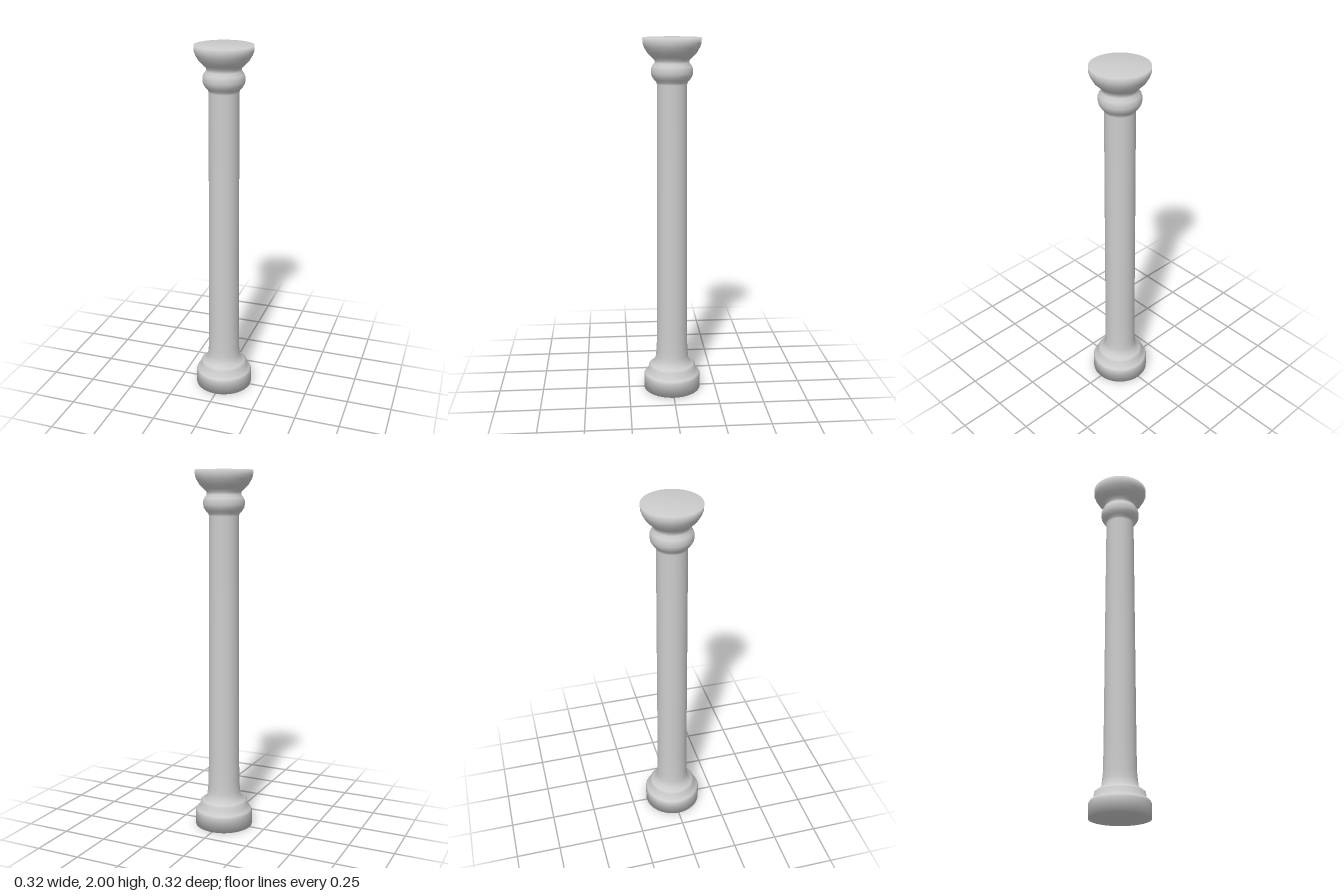
import * as THREE from 'three';

export function createModel() {
  const model = new THREE.Group();
  model.name = 'column';
  const stone = new THREE.MeshStandardMaterial({ color: 0xcccccc });
  stone.name = 'stone grey';

  // Radius and height pairs, from the centre of the foot up to the centre of the top
  const profile = [
    [0, 0], [0.162, 0],
    // base: plinth and stepped ring
    [0.162, 0.08], [0.155, 0.093], [0.136, 0.108], [0.134, 0.135], [0.122, 0.146], [0.098, 0.163],
    // slightly tapering shaft
    [0.093, 0.2], [0.089, 0.24], [0.087, 0.37], [0.084, 1.09], [0.081, 1.755],
    // neck ring
    [0.085, 1.768], [0.098, 1.782], [0.109, 1.8], [0.112, 1.815], [0.112, 1.835], [0.107, 1.85], [0.094, 1.868],
    // flared capital
    [0.094, 1.884], [0.11, 1.9], [0.132, 1.921], [0.149, 1.95], [0.156, 1.97], [0.157, 2],
    [0, 2],
  ].map(([r, y]) => new THREE.Vector2(r, y));

  const column = new THREE.Mesh(new THREE.LatheGeometry(profile, 64), stone);
  column.name = 'turnedColumn';
  model.add(column);
  return model;
}
